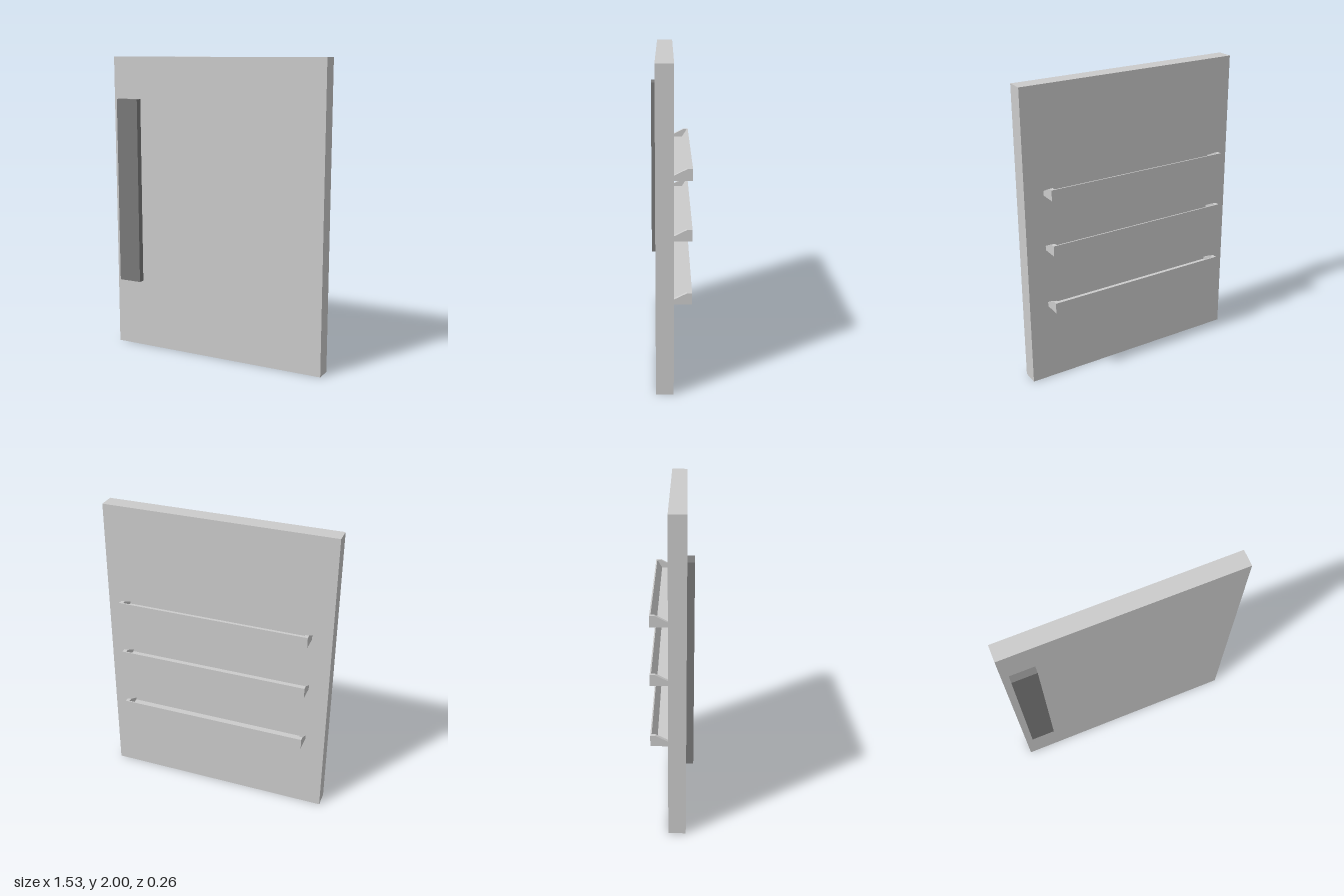
import * as THREE from 'three';

const grey = new THREE.MeshStandardMaterial({ color: 0xcccccc, flatShading: true });
const dark = new THREE.MeshStandardMaterial({ color: 0x7a7a7a, flatShading: true });

const BACK = -0.02; // z of the panel's back face

function box(name, x0, x1, y0, y1, z0, z1, material) {
  const mesh = new THREE.Mesh(new THREE.BoxGeometry(x1 - x0, y1 - y0, z1 - z0), material);
  mesh.position.set((x0 + x1) / 2, (y0 + y1) / 2, (z0 + z1) / 2);
  mesh.name = name;
  return mesh;
}

// Extrudes a profile of [distance behind the panel, height] from x0 to x1
function profileBar(name, points, x0, x1) {
  const shape = new THREE.Shape(points.map(([d, y]) => new THREE.Vector2(d, y)));
  const geometry = new THREE.ExtrudeGeometry(shape, { depth: x1 - x0, bevelEnabled: false });
  geometry.rotateY(Math.PI / 2).translate(x0, 0, BACK);
  const mesh = new THREE.Mesh(geometry, grey);
  mesh.name = name;
  return mesh;
}

// Shallow shelf: floor with a sloped rear lip, closed by a bracket at each end
function createShelf(y) {
  const shelf = new THREE.Group();
  shelf.name = 'shelf';
  const lip = [[0, 0], [0.112, 0], [0.112, 0.07], [0.104, 0.07], [0.07, 0.015], [0, 0.015]];
  const end = [[0, 0], [0.112, 0], [0.112, 0.07], [0.08, 0.07], [0, 0.03]];
  shelf.add(profileBar('shelfTray', lip, -0.61, 0.61));
  shelf.add(profileBar('rightShelfEnd', end, -0.635, -0.61));
  shelf.add(profileBar('leftShelfEnd', end, 0.61, 0.635));
  shelf.position.y = y;
  return shelf;
}

export function createModel() {
  const model = new THREE.Group();
  model.name = 'door';
  model.add(box('doorPanel', -0.765, 0.765, 0, 2, BACK, 0.088, grey));
  model.add(box('handle', -0.72, -0.56, 0.465, 1.72, 0.088, 0.131, dark));
  for (const y of [0.535, 0.937, 1.307]) model.add(createShelf(y));
  return model;
}
